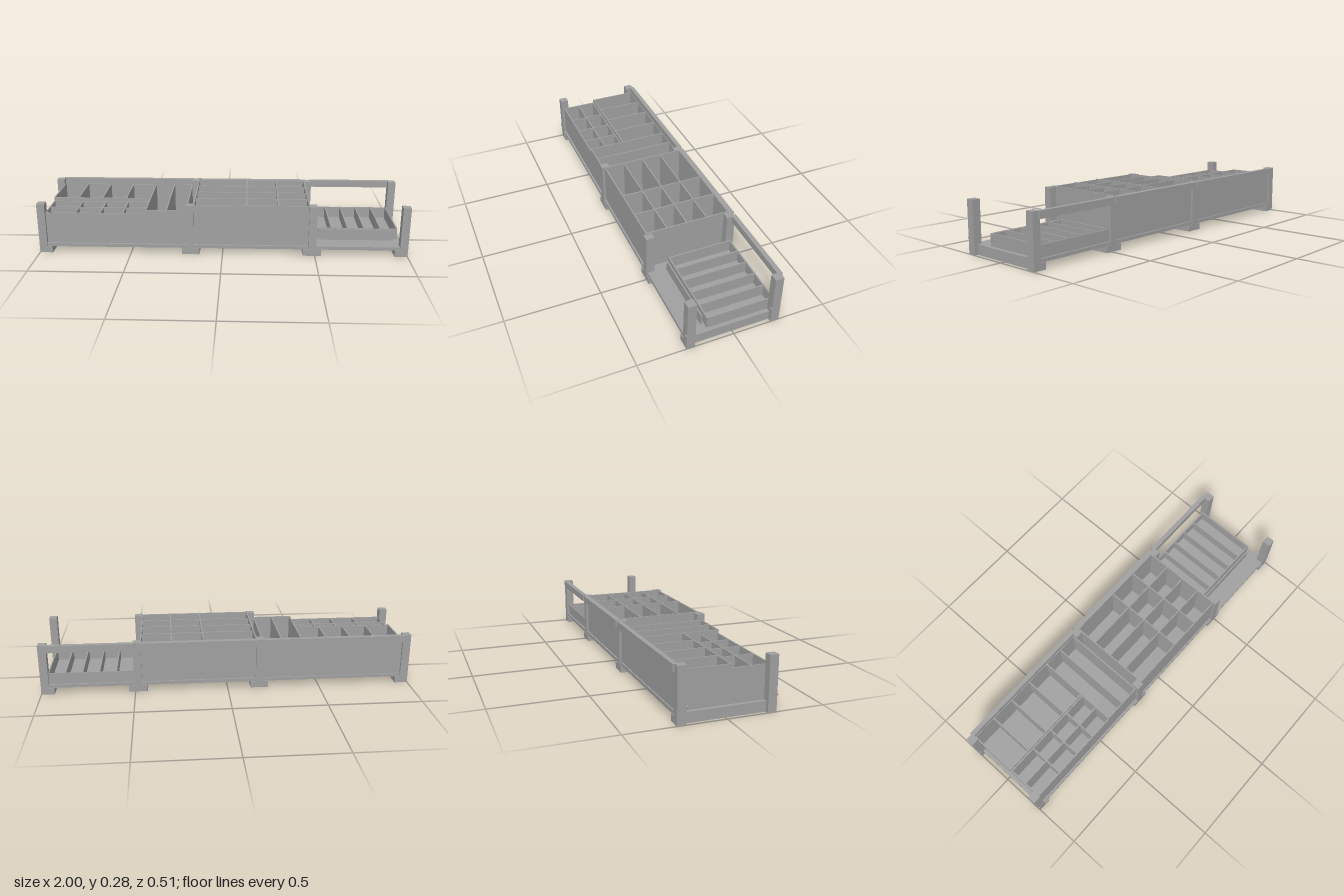
import * as THREE from 'three';

export function createModel() {
  const model = new THREE.Group();
  const grey = new THREE.MeshStandardMaterial({ color: 0xa0a0a0 });
  grey.name = 'grey';

  // Box given by its min and max along each axis
  function block(name, [x0, x1], [y0, y1], [z0, z1], parent = model) {
    const mesh = new THREE.Mesh(new THREE.BoxGeometry(x1 - x0, y1 - y0, z1 - z0), grey);
    mesh.position.set((x0 + x1) / 2, (y0 + y1) / 2, (z0 + z1) / 2);
    mesh.name = name;
    parent.add(mesh);
    return mesh;
  }

  const T = 0.007; // panel thickness
  const FLOOR = 0.053;
  const acrossX = (name, x, top, z, parent) => // panel standing along z
    block(name, [x - T / 2, x + T / 2], [FLOOR, top], z, parent);
  const acrossZ = (name, x, top, z, parent) => // panel standing along x
    block(name, x, [FLOOR, top], [z - T / 2, z + T / 2], parent);

  // Deck
  block('deck', [-0.98, 0.98], [0.035, FLOOR], [-0.24, 0.245]);

  // Cross beams that carry the deck, ending in feet
  const beams = [[-1, -0.93], [-0.22, -0.125], [0.435, 0.535], [0.93, 1]];
  for (const [a, b] of beams) {
    block('crossBeam', [Math.max(a, -0.98), Math.min(b, 0.98)], [0, 0.036], [-0.2, 0.205]);
    block('backFoot', [a, b], [0, 0.035], [-0.245, -0.2]);
    block('frontFoot', [a, b], [0, 0.035], [0.205, 0.25]);
  }

  // Posts
  const posts = [[-1, -0.957], [-0.196, -0.154], [0.464, 0.506], [0.957, 1]];
  for (const x of posts) {
    block('frontPost', x, [0, 0.278], [0.205, 0.25]);
    block('backPost', x, [0, 0.278], [-0.245, -0.2]);
  }

  // Small pins on the corner posts
  for (const side of [-1, 1]) {
    for (const z of [0.251, -0.198]) {
      const pin = new THREE.Mesh(new THREE.CylinderGeometry(0.007, 0.007, 0.01, 10), grey);
      pin.rotation.x = Math.PI / 2;
      pin.position.set(side * 0.992, 0.083, z);
      pin.name = 'pin';
      model.add(pin);
    }
  }

  // Back rails
  for (const x of [[-0.965, -0.185], [-0.165, 0.475], [0.495, 0.965]]) {
    block('backRail', x, [0.24, 0.278], [-0.255, -0.23]);
  }

  // Left-hand bin in the front view: deep rear bins, small front bins, two full-depth bins
  const mixed = new THREE.Group();
  mixed.name = 'mixedBins';
  model.add(mixed);
  const mixedTop = 0.245, smallTop = 0.225, full = [-0.23, 0.23];
  acrossZ('backWall', [-0.96, -0.195], mixedTop, -0.23, mixed);
  acrossZ('frontWall', [-0.413, -0.195], mixedTop, 0.23, mixed);
  acrossZ('lowFrontWall', [-0.96, -0.413], smallTop, 0.23, mixed);
  acrossX('endWall', -0.957, mixedTop, [-0.23, 0.03], mixed);
  acrossX('lowEndWall', -0.957, smallTop, [0.03, 0.23], mixed);
  for (const x of [-0.413, -0.303, -0.197]) acrossX('fullDivider', x, mixedTop, full, mixed);
  for (const x of [-0.82, -0.685, -0.55]) acrossX('rearDivider', x, mixedTop, [-0.23, 0.03], mixed);
  acrossZ('middleWall', [-0.96, -0.413], mixedTop, 0.03, mixed);
  acrossZ('smallBinBack', [-0.96, -0.413], smallTop, 0.037, mixed);
  acrossZ('smallBinDivider', [-0.96, -0.413], smallTop, 0.135, mixed);
  for (const x of [-0.797, -0.663, -0.54]) acrossX('smallDivider', x, smallTop, [0.037, 0.23], mixed);

  // Tall centre bin with a regular grid
  const tall = new THREE.Group();
  tall.name = 'tallBins';
  model.add(tall);
  for (const x of [-0.153, 0.13, 0.3, 0.463]) acrossX('tallDivider', x, 0.282, [-0.23, 0.235], tall);
  for (const z of [-0.228, 0.232]) acrossZ('tallWall', [-0.155, 0.465], 0.278, z, tall);
  for (const z of [-0.105, 0.007, 0.118]) acrossZ('tallShelfDivider', [-0.155, 0.465], 0.278, z, tall);

  // Low tray with slots, and a loose plate in front of it
  const tray = new THREE.Group();
  tray.name = 'lowTray';
  model.add(tray);
  for (let i = 0; i < 6; i++) acrossX('trayDivider', 0.508 + i * 0.0895, 0.118, [-0.23, 0.127], tray);
  for (const z of [-0.227, 0.124]) acrossZ('trayWall', [0.506, 0.957], 0.115, z, tray);
  acrossZ('frontPlate', [0.525, 0.93], 0.113, 0.142, tray);

  return model;
}
